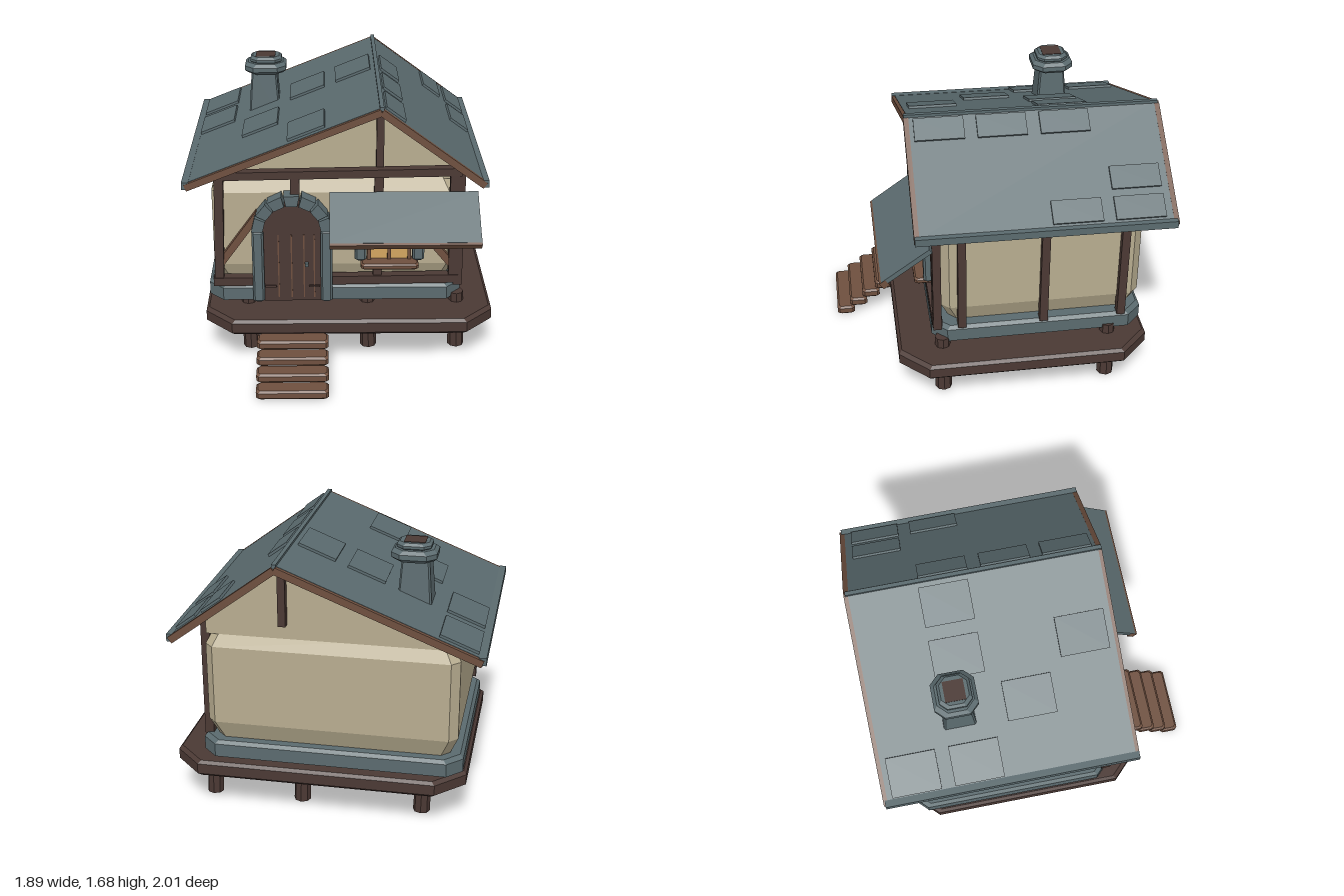
import * as THREE from 'three';
import { ConvexGeometry } from 'three/addons/geometries/ConvexGeometry.js';

const mat = (name, color) => {
  const m = new THREE.MeshStandardMaterial({ color });
  m.name = name;
  return m;
};

export function createModel() {
  const slate = mat('slate', 0x5b6b6f);
  const darkWood = mat('dark wood', 0x4b3934);
  const wood = mat('warm wood', 0x6f503f);
  const plaster = mat('plaster', 0xb8ad90);
  const glow = mat('window glow', 0xd3a660);

  const house = new THREE.Group();
  house.name = 'stiltCottage';
  const add = (name, geo, material, x = 0, y = 0, z = 0, parent = house) => {
    const m = new THREE.Mesh(geo, material);
    m.name = name;
    m.position.set(x, y, z);
    parent.add(m);
    return m;
  };
  // Plain box given by its lower and upper limits on each axis
  const box = (name, material, x0, x1, y0, y1, z0, z1) =>
    add(name, new THREE.BoxGeometry(x1 - x0, y1 - y0, z1 - z0), material,
      (x0 + x1) / 2, (y0 + y1) / 2, (z0 + z1) / 2);
  // Slab with cut corners and bevelled rims; top and bottom are [height, inset]
  const slab = (name, material, x0, x1, y0, y1, z0, z1, corner, top, bottom = top) => {
    const pts = [];
    const ring = (y, i) => {
      const c = corner;
      for (const [x, sx] of [[x0 + i, 1], [x1 - i, -1]])
        for (const [z, sz] of [[z0 + i, 1], [z1 - i, -1]])
          pts.push(new THREE.Vector3(x + sx * c, y, z), new THREE.Vector3(x, y, z + sz * c));
    };
    ring(y0, bottom[1]);
    ring(y0 + bottom[0], 0);
    ring(y1 - top[0], 0);
    ring(y1, top[1]);
    return add(name, new ConvexGeometry(pts), material);
  };
  // Timber from point a to point b
  const beam = (name, material, a, b, w, d, parent = house) => {
    const A = new THREE.Vector3(...a), B = new THREE.Vector3(...b);
    const dir = B.clone().sub(A);
    const m = add(name, new THREE.BoxGeometry(w, dir.length(), d), material, 0, 0, 0, parent);
    m.position.copy(A).add(B).multiplyScalar(0.5);
    m.quaternion.setFromUnitVectors(new THREE.Vector3(0, 1, 0), dir.normalize());
    return m;
  };
  const extrude = (points, depth) => new THREE.ExtrudeGeometry(
    new THREE.Shape(points.map(p => new THREE.Vector2(...p))), { depth, bevelEnabled: false });

  // Deck, stilts and steps
  slab('deck', darkWood, -0.84, 0.94, 0.24, 0.34, -0.89, 0.64, 0.17, [0.018, 0.018]);
  for (const x of [-0.575, 0.17, 0.73])
    for (const z of [0.37, -0.655]) {
      const h = x > 0.5 ? 0.38 : 0.35;
      const geo = new THREE.CylinderGeometry(0.046, 0.052, h, 8).toNonIndexed();
      geo.computeVertexNormals();
      add('stilt', geo, darkWood, x, 0.02 + h / 2, z).rotation.z = 0.03;
    }
  for (let i = 0; i < 4; i++) {
    const y = 0.008 + i * 0.062, z = 1 - i * 0.087;
    slab('step', wood, -0.515, -0.08, y, y + 0.058, z - 0.115, z, 0.015, [0.012, 0.012]);
  }

  // Stone footing, walls and gables
  slab('footing', slate, -0.823, 0.75, 0.338, 0.478, -0.87, 0.43, 0.09, [0.02, 0.02], [0.038, 0.09]);
  slab('walls', plaster, -0.79, 0.71, 0.47, 1.2, -0.845, 0.37, 0.05, [0.12, 0.06], [0.125, 0.05]);
  add('gable', extrude([[-0.78, 1.15], [0.7, 1.15], [0.7, 1.225], [0.235, 1.59], [-0.78, 1.19]], 1.14),
    plaster, 0, 0, -0.81);

  // Front timber frame
  const zf = 0.4;
  beam('bottomRail', darkWood, [-0.79, 0.5, zf], [0.745, 0.515, zf], 0.055, 0.06);
  beam('topRail', darkWood, [-0.78, 1.208, zf], [0.725, 1.232, zf], 0.05, 0.06);
  beam('cornerPost', darkWood, [-0.755, 0.5, zf], [-0.735, 1.21, zf], 0.055, 0.05);
  beam('cornerPost', darkWood, [0.695, 0.5, zf], [0.685, 1.22, zf], 0.055, 0.05);
  beam('frontPost', darkWood, [-0.28, 0.9, zf], [-0.278, 1.21, zf], 0.055, 0.05);
  beam('frontPost', darkWood, [0.225, 0.5, 0.39], [0.23, 1.22, 0.39], 0.055, 0.05);
  beam('leftBrace', wood, [-0.75, 0.61, zf - 0.01], [-0.5, 0.96, zf - 0.01], 0.045, 0.04);
  beam('rightBrace', wood, [0.68, 0.61, zf - 0.01], [0.42, 0.93, zf - 0.01], 0.045, 0.04);
  beam('frontKingPost', darkWood, [0.235, 1.22, 0.35], [0.235, 1.62, 0.35], 0.045, 0.06);
  beam('backKingPost', darkWood, [0.235, 1.24, -0.83], [0.235, 1.61, -0.83], 0.045, 0.05);

  // Posts along the left wall
  for (const z of [0.4, 0.25, -0.25, -0.73])
    beam('sidePost', darkWood, [0.725, 0.47, z], [0.722, 1.24, z - 0.005], 0.055, 0.05);

  // Roof: two unequal slopes meeting at a ridge
  const roof = new THREE.Group();
  roof.name = 'roof';
  roof.rotation.x = -0.008;
  house.add(roof);
  const RX = 0.235, RY = 1.665, L = [-0.925, 1.2], R = [0.855, 1.205], t = 0.045;
  add('roofSlopes', extrude([L, [L[0], L[1] - t], [RX, RY - t], [R[0], R[1] - t], R, [RX, RY]], 1.49),
    slate, 0, 0, -0.975, roof);
  for (const [ex, ey] of [L, R]) {
    for (const z of [0.522, -0.985])
      beam('gableTrim', wood, [ex, ey - 0.025, z], [RX, RY - 0.025, z], 0.042, 0.03, roof);
    beam('eavePole', slate, [ex, ey - 0.012, -0.99], [ex, ey - 0.012, 0.535], 0.042, 0.045, roof);
  }
  beam('ridgeCap', slate, [RX, RY - 0.004, -0.99], [RX, RY - 0.004, 0.535], 0.025, 0.025, roof);

  // Raised roof tiles: centre x, width in plan and centre z
  const tiles = [[-0.79, 0.22, -0.795], [-0.79, 0.22, -0.42], [-0.207, 0.22, -0.42],
    [0.085, 0.22, -0.42], [-0.497, 0.22, -0.045], [-0.207, 0.22, 0.33],
    [0.318, 0.115, 0.335], [0.318, 0.115, -0.035], [0.318, 0.115, -0.41],
    [0.622, 0.115, -0.78], [0.775, 0.115, -0.78], [0.775, 0.115, -0.41]];
  for (const [x, w, z] of tiles) {
    const [ex, ey] = x < RX ? L : R;
    const slope = (RY - ey) / (RX - ex);
    const m = add('roofTile', new THREE.BoxGeometry(w * Math.hypot(1, slope), 0.02, 0.295), slate,
      x, RY + (x - RX) * slope + 0.006, z, roof);
    m.rotation.z = Math.atan(slope);
  }

  // Chimney
  slab('chimneyStack', slate, -0.59, -0.385, 1.27, 1.6, -0.585, -0.385, 0.01, [0.3, 0.022], [0.01, 0]);
  slab('chimneyCollar', slate, -0.61, -0.345, 1.583, 1.652, -0.615, -0.36, 0.055, [0.02, 0.02]);
  slab('chimneyRim', slate, -0.575, -0.375, 1.645, 1.69, -0.58, -0.39, 0.04, [0.015, 0.015]);
  box('flueOpening', darkWood, -0.54, -0.415, 1.688, 1.693, -0.545, -0.425);

  // Arched door with stone surround
  const cx = -0.3, cy = 0.85;
  const door = new THREE.Shape();
  door.moveTo(cx - 0.178, 0.375);
  door.lineTo(cx + 0.178, 0.375);
  door.lineTo(cx + 0.178, cy);
  door.absarc(cx, cy, 0.178, 0, Math.PI, false);
  add('door', new THREE.ExtrudeGeometry(door, { depth: 0.08, bevelEnabled: false, curveSegments: 10 }),
    darkWood, 0, 0, 0.36);
  for (const x of [-0.385, -0.305, -0.228, -0.165])
    box('plankSeam', wood, x - 0.004, x + 0.004, 0.4, 0.83, 0.438, 0.443);
  for (const x of [-0.435, -0.165])
    box('doorStrap', darkWood, x - 0.035, x + 0.035, 0.472, 0.484, 0.44, 0.449);
  box('doorHandle', slate, -0.222, -0.2, 0.618, 0.642, 0.44, 0.462);
  for (const s of [-1, 1])
    slab('doorJamb', slate, cx + s * 0.21 - 0.036, cx + s * 0.21 + 0.036, 0.375, 0.86, 0.37, 0.465,
      0.012, [0.012, 0.012]);
  const blocks = 7, step = Math.PI / blocks;
  for (let i = 0; i < blocks; i++) {
    const a = i * step + 0.03, b = (i + 1) * step - 0.03;
    const p = (r, k) => [cx + r * Math.cos(k), cy + r * Math.sin(k)];
    add('archStone', extrude([p(0.178, a), p(0.247, a), p(0.247, b), p(0.178, b)], 0.1),
      slate, 0, 0, 0.36);
  }

  // Window with shutters and sill
  box('windowPane', glow, 0.175, 0.415, 0.65, 0.87, 0.41, 0.418);
  for (const x of [0.172, 0.296, 0.42])
    box('windowBar', wood, x - 0.011, x + 0.011, 0.65, 0.88, 0.41, 0.435);
  for (const y of [0.8, 0.88])
    box('windowRail', wood, 0.165, 0.43, y - 0.011, y + 0.011, 0.41, 0.432);
  for (const x of [0.12, 0.475])
    slab('shutter', slate, x - 0.036, x + 0.036, 0.653, 0.87, 0.39, 0.455, 0.012, [0.012, 0.012]);
  slab('windowSill', wood, 0.12, 0.475, 0.618, 0.656, 0.38, 0.51, 0.015, [0.01, 0.01]);

  // Awning over the window
  const awning = new THREE.Group();
  awning.name = 'awning';
  awning.position.set(0.377, 1.0, 0.575);
  awning.rotation.x = 0.62;
  house.add(awning);
  add('awningBoard', new THREE.BoxGeometry(0.895, 0.03, 0.35), slate, 0, 0, 0, awning);
  add('awningEdge', new THREE.BoxGeometry(0.897, 0.045, 0.045), wood, 0, -0.009, 0.168, awning);

  return house;
}
